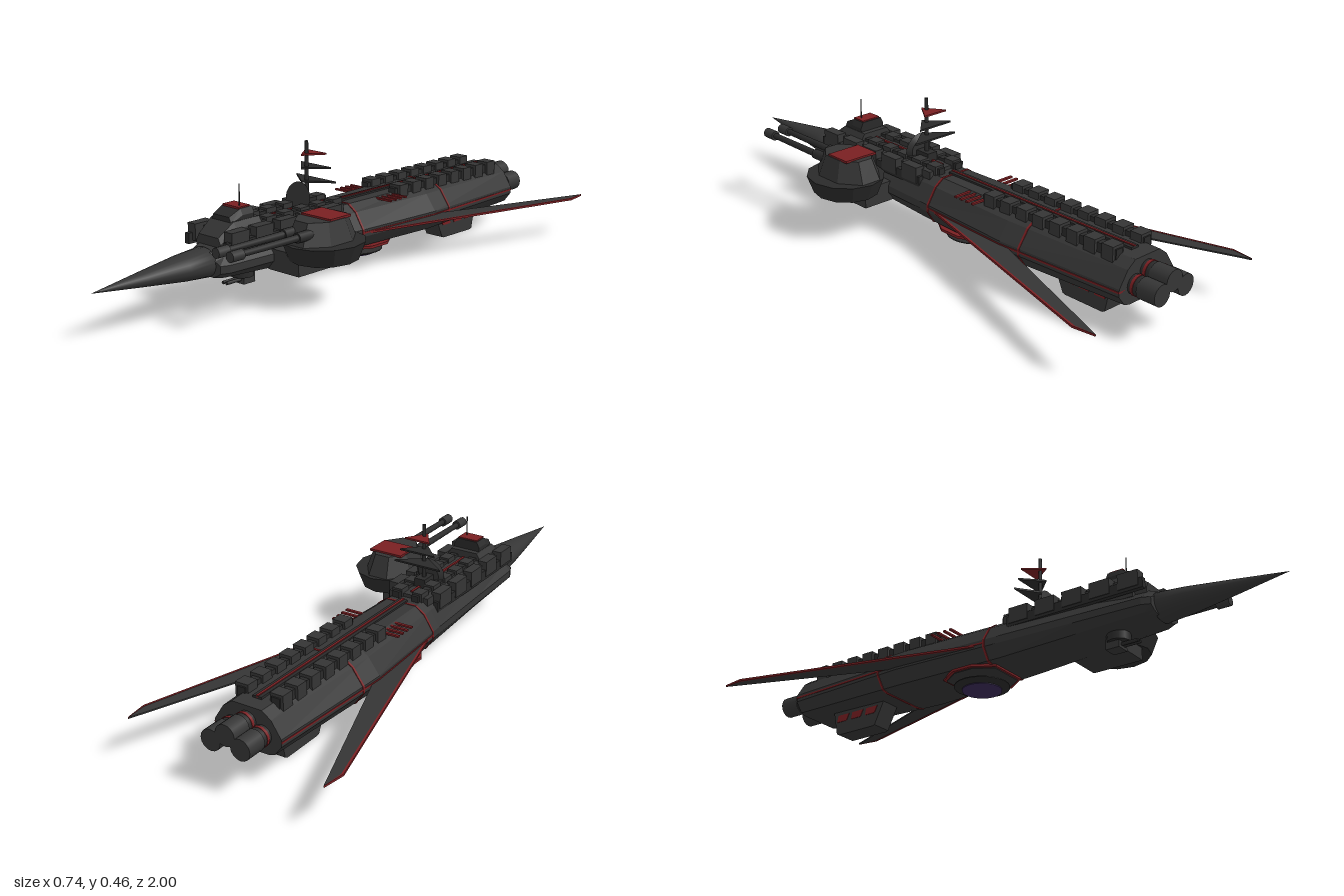
import * as THREE from 'three';

const paint = (name, color) => {
  const m = new THREE.MeshStandardMaterial({ color });
  m.name = name;
  return m;
};

export function createModel() {
  const ship = new THREE.Group();
  ship.name = 'spaceBattleship';
  const hullGrey = paint('hullGrey', 0x353535);
  const darkGrey = paint('darkGrey', 0x2a2a2a);
  const red = paint('trimRed', 0x7a1f22);
  const violet = paint('lensViolet', 0x3a2a58);

  const add = (name, geo, mat, x = 0, y = 0, z = 0, parent = ship) => {
    const m = new THREE.Mesh(geo, mat);
    m.name = name;
    m.position.set(x, y, z);
    parent.add(m);
    return m;
  };
  // Box given by its limits
  const box = (name, mat, x0, x1, y0, y1, z0, z1) =>
    add(name, new THREE.BoxGeometry(x1 - x0, y1 - y0, z1 - z0), mat, (x0 + x1) / 2, (y0 + y1) / 2, (z0 + z1) / 2);
  const pair = (name, mat, x0, x1, ...rest) => {
    box(name, mat, x0, x1, ...rest);
    box(name, mat, -x1, -x0, ...rest);
  };
  // Cylinder along z, first radius at the front
  const rod = (name, mat, rFront, rBack, z0, z1, x, y, sides = 16) =>
    add(name, new THREE.CylinderGeometry(rFront, rBack, z1 - z0, sides).rotateX(Math.PI / 2), mat, x, y, (z0 + z1) / 2);
  // Flat-faced skin over rings ordered from front to back, counter-clockwise from the front
  const loft = (rings) => {
    const pos = [];
    const tri = (...p) => p.forEach((v) => pos.push(...v));
    const n = rings[0].length;
    for (let r = 0; r < rings.length - 1; r++) {
      for (let i = 0; i < n; i++) {
        const j = (i + 1) % n, A = rings[r], B = rings[r + 1];
        tri(A[i], B[i], B[j]);
        tri(A[i], B[j], A[j]);
      }
    }
    const first = rings[0], last = rings[rings.length - 1];
    for (let i = 1; i < n - 1; i++) {
      tri(first[0], first[i], first[i + 1]);
      tri(last[0], last[i + 1], last[i]);
    }
    const g = new THREE.BufferGeometry();
    g.setAttribute('position', new THREE.Float32BufferAttribute(pos, 3));
    g.computeVertexNormals();
    return g;
  };
  // Extrude an outline upward: shape points are [x, z]
  const plate = (pts, h) => {
    const s = new THREE.Shape(pts.map(([x, z]) => new THREE.Vector2(x, -z)));
    return new THREE.ExtrudeGeometry(s, { depth: h, bevelEnabled: false }).rotateX(-Math.PI / 2);
  };

  // Main hull: stations are [z, half width, bottom, top]
  const stations = [[0.57, 0.085, 0.112, 0.19], [0.54, 0.098, 0.106, 0.2], [0.3, 0.108, 0.095, 0.222],
    [0, 0.122, 0.083, 0.233], [-0.4, 0.145, 0.08, 0.235], [-0.88, 0.122, 0.09, 0.232]];
  const station = (z) => {
    let k = 0;
    while (k < stations.length - 2 && z < stations[k + 1][0]) k++;
    const a = stations[k], b = stations[k + 1], t = (z - a[0]) / (b[0] - a[0]);
    return a.map((v, i) => v + (b[i] - v) * t);
  };
  const hullRing = (z, grow = 0) => {
    const [, w0, b0, t0] = station(z);
    const w = w0 + grow, b = b0 - grow, t = t0 + grow;
    const half = [[w * 0.6, b], [w * 0.78, b + 0.006], [w, 0.13], [w, 0.155], [w * 0.72, t - 0.024], [w * 0.45, t]];
    return [...half, ...half.map(([x, y]) => [-x, y]).reverse()].map(([x, y]) => [x, y, z]);
  };
  add('hull', loft(stations.map((s) => hullRing(s[0]))), hullGrey);
  for (const z of [-0.04, -0.48]) add('hullBand', loft([hullRing(z, 0.002), hullRing(z - 0.008, 0.002)]), red);
  add('sideTrim', loft([-0.04, -0.4, -0.88].map((z) => {
    const w = station(z)[1] + 0.002;
    return [[w, 0.141, z], [w, 0.147, z], [-w, 0.147, z], [-w, 0.141, z]];
  })), red);

  // Pointed nose
  const nosePts = [[0, 0.56], [0.066, 0.56], [0.056, 0.66], [0.032, 0.81], [0.0001, 1]].map(([r, z]) => new THREE.Vector2(r, z));
  const nose = add('noseCone', new THREE.LatheGeometry(nosePts, 24).rotateX(Math.PI / 2), hullGrey, 0, 0.151, 0);
  nose.scale.y = 0.73;

  // Engine cluster
  for (const [x, y] of [[0, 0.183], [0.054, 0.152], [-0.054, 0.152]]) {
    rod('engine', darkGrey, 0.033, 0.033, -0.93, -0.86, x, y);
    rod('engineCollar', red, 0.035, 0.035, -0.9, -0.89, x, y);
    rod('engineNozzle', hullGrey, 0.036, 0.036, -0.985, -0.915, x, y);
  }

  // Swept wings with coloured leading edge
  for (const s of [1, -1]) {
    const flip = (pts) => (s > 0 ? pts : pts.map(([x, z]) => [-x, z]).reverse());
    add('wing', plate(flip([[0.1, 0], [0.1, -0.3], [0.14, -0.43], [0.355, -1], [0.366, -0.92], [0.127, -0.09]]), 0.005), hullGrey, 0, 0.138, 0);
    add('wingEdge', plate(flip([[0.123, -0.09], [0.362, -0.925], [0.357, -1], [0.368, -0.92], [0.128, -0.08]]), 0.007), red, 0, 0.137, 0);
  }

  // Dorsal spine and toothed rails
  box('aftSpine', darkGrey, -0.016, 0.016, 0.225, 0.24, -0.83, -0.03);
  box('spineStripe', red, -0.004, 0.004, 0.235, 0.243, -0.83, -0.03);
  pair('aftRail', darkGrey, 0.048, 0.078, 0.205, 0.25, -0.825, -0.26);
  for (let i = 0; i < 8; i++) {
    const z = -0.82 + i * 0.0715;
    pair('aftRailBlock', hullGrey, 0.04, 0.088, 0.21, 0.26, z, z + 0.045);
  }
  box('foreDeck', hullGrey, -0.075, 0.075, 0.18, 0.245, 0, 0.5);
  box('foreStripe', red, -0.004, 0.004, 0.24, 0.25, 0.02, 0.37);
  pair('foreRail', darkGrey, 0.024, 0.05, 0.23, 0.255, -0.02, 0.37);
  for (let i = 0; i < 5; i++) {
    const z = -0.01 + i * 0.077;
    pair('foreRailBlock', hullGrey, 0.02, 0.058, 0.23, 0.262, z, z + 0.045);
  }
  pair('outerRail', darkGrey, 0.08, 0.098, 0.19, 0.225, 0.03, 0.55);
  for (let i = 0; i < 5; i++) {
    const z = 0.04 + i * 0.105;
    pair('outerRailBlock', hullGrey, 0.066, 0.101, 0.2, 0.255, z, z + 0.075);
  }
  // Side vents
  for (let i = 0; i < 4; i++) pair('sideVent', red, 0.05, 0.128, 0.226, 0.232, -0.265 + i * 0.026, -0.255 + i * 0.026);

  // Bridge
  const slab = (z, w, b, t) => [[w, b, z], [w, t - 0.02, z], [w * 0.8, t, z], [-w * 0.8, t, z], [-w, t - 0.02, z], [-w, b, z]];
  add('bridgeBase', loft([slab(0.54, 0.055, 0.19, 0.23), slab(0.48, 0.064, 0.19, 0.272), slab(0.37, 0.064, 0.19, 0.272)]), hullGrey);
  add('bridgeTower', loft([slab(0.485, 0.045, 0.26, 0.285), slab(0.44, 0.05, 0.26, 0.306), slab(0.39, 0.05, 0.26, 0.306)]), darkGrey);
  box('bridgeRoof', red, -0.037, 0.037, 0.303, 0.31, 0.395, 0.445);
  add('bridgeAntenna', new THREE.CylinderGeometry(0.002, 0.002, 0.08, 6), darkGrey, 0.02, 0.34, 0.425);

  // Dish and mast with three pennant-shaped vanes
  const dish = add('dish', new THREE.CylinderGeometry(0.055, 0.04, 0.014, 24).rotateX(Math.PI / 2), hullGrey, 0, 0.276, 0.135);
  dish.rotation.x = -0.2;
  box('mastFoot', darkGrey, -0.02, 0.02, 0.23, 0.275, 0.07, 0.13);
  add('mast', new THREE.CylinderGeometry(0.006, 0.008, 0.215, 8), darkGrey, 0, 0.357, 0.1);
  for (const [y, w, m] of [[0.33, 0.09, darkGrey], [0.375, 0.068, darkGrey], [0.42, 0.048, red]]) {
    add('mastVane', plate([[-w, 0.055], [0, 0.125], [w, 0.055]], 0.006), m, 0, y - 0.003, 0);
  }

  // Side turret on its pylon
  const pylon = new THREE.Shape([[0.08, 0.1], [0.215, 0.1], [0.215, 0.145], [0.175, 0.147], [0.158, 0.17], [0.08, 0.17]].map((p) => new THREE.Vector2(...p)));
  add('turretPylon', new THREE.ExtrudeGeometry(pylon, { depth: 0.19, bevelEnabled: false }), hullGrey, 0, 0, 0.17);
  const turret = new THREE.Group();
  turret.name = 'turret';
  turret.position.set(0.228, 0, 0.258);
  ship.add(turret);
  const flat = (g) => {
    const f = g.toNonIndexed();
    f.computeVertexNormals();
    return f;
  };
  add('turretBase', flat(new THREE.CylinderGeometry(0.13, 0.108, 0.06, 12)), darkGrey, 0, 0.175, 0, turret).scale.z = 1.08;
  const oct = 1 / Math.cos(Math.PI / 8);
  add('turretHouse', flat(new THREE.CylinderGeometry(0.067 * oct, 0.09 * oct, 0.074, 8).rotateY(Math.PI / 8)), hullGrey, -0.013, 0.24, 0, turret).scale.z = 1.35;
  add('turretRoof', new THREE.BoxGeometry(0.128, 0.008, 0.095), red, -0.013, 0.279, -0.022, turret);
  for (const x of [0.185, 0.246]) {
    rod('gunMantle', darkGrey, 0.017, 0.017, 0.33, 0.4, x, 0.241);
    rod('gunBarrel', darkGrey, 0.01, 0.012, 0.38, 0.64, x, 0.241, 12);
    rod('gunMuzzle', hullGrey, 0.017, 0.017, 0.632, 0.68, x, 0.241, 12);
  }

  // Chin turret
  add('chinNeck', new THREE.CylinderGeometry(0.04, 0.04, 0.035, 12), darkGrey, 0, 0.09, 0.4);
  box('chinTurret', hullGrey, -0.025, 0.025, 0.048, 0.085, 0.365, 0.415);
  for (const x of [0.008, -0.008]) rod('chinGun', darkGrey, 0.006, 0.006, 0.4, 0.475, x, 0.062, 8);

  // Belly plate, sensor disc and violet lens
  const belly = (k) => [[-0.07, -0.03], [-0.115, -0.1], [-0.115, -0.18], [-0.07, -0.25], [0.07, -0.25], [0.115, -0.18], [0.115, -0.1], [0.07, -0.03]].map(([x, z]) => [x * k, -0.14 + (z + 0.14) * k]);
  add('bellyTrim', plate(belly(1), 0.009), red, 0, 0.076, 0);
  add('bellyPlate', plate(belly(0.92), 0.008), hullGrey, 0, 0.073, 0);
  add('discNeck', new THREE.CylinderGeometry(0.045, 0.04, 0.035, 20), darkGrey, 0, 0.07, -0.14);
  const discPts = [[0, 0.04], [0.07, 0.04], [0.095, 0.05], [0.095, 0.053], [0.07, 0.064], [0, 0.064]].map((p) => new THREE.Vector2(...p));
  add('sensorDisc', flat(new THREE.LatheGeometry(discPts, 24)), darkGrey, 0, 0, -0.14);
  add('discLens', new THREE.CylinderGeometry(0.068, 0.068, 0.004, 24), violet, 0, 0.039, -0.14);

  // Ventral keel with slanted windows
  const keel = (pts, depth) => new THREE.ExtrudeGeometry(new THREE.Shape(pts.map(([z, y]) => new THREE.Vector2(-z, y))), { depth, bevelEnabled: false }).rotateY(Math.PI / 2);
  add('keel', keel([[-0.535, 0.1], [-0.58, 0.003], [-0.59, 0], [-0.745, 0], [-0.755, 0.005], [-0.775, 0.1]], 0.074), hullGrey, -0.037, 0, 0);
  for (let i = 0; i < 3; i++) {
    const z = -0.57 - i * 0.065;
    add('keelWindow', keel([[z, 0.073], [z - 0.012, 0.048], [z - 0.055, 0.048], [z - 0.05, 0.073]], 0.078), red, -0.039, 0, 0);
  }
  return ship;
}
